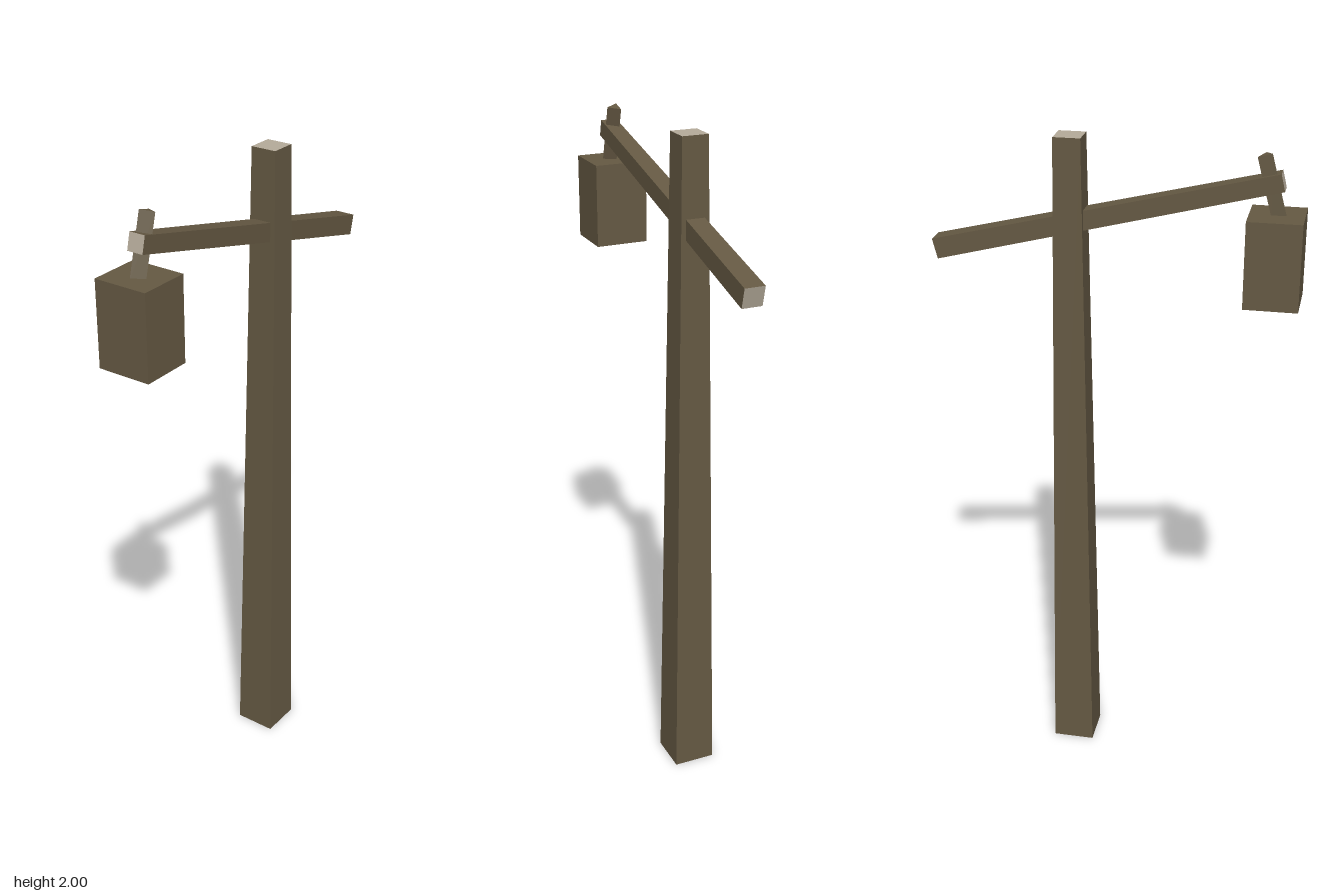
import * as THREE from 'three';

const wood = new THREE.MeshStandardMaterial({ color: 0x655943, side: THREE.DoubleSide });
wood.name = 'dark wood';
const endGrain = new THREE.MeshStandardMaterial({ color: 0xb5ab9a });
endGrain.name = 'pale end grain';

// Straight tapered timber with flat sides, running from one point to another
function timber(name, from, to, r0, r1, sides, spin, materials, open = false) {
  const a = new THREE.Vector3(...from), b = new THREE.Vector3(...to);
  const axis = b.clone().sub(a);
  const indexed = new THREE.CylinderGeometry(r1, r0, axis.length(), sides, 1, open);
  indexed.rotateY(spin);
  const geometry = indexed.toNonIndexed();
  geometry.computeVertexNormals();
  const mesh = new THREE.Mesh(geometry, materials);
  mesh.name = name;
  mesh.position.copy(a).add(b).multiplyScalar(0.5);
  mesh.quaternion.setFromUnitVectors(new THREE.Vector3(0, 1, 0), axis.normalize());
  return mesh;
}

export function createModel() {
  const group = new THREE.Group();
  group.name = 'lampPost';
  const square = Math.SQRT1_2; // side length to corner radius
  const x = 0.005;
  const postZ = -0.127;

  // Tapered square post, hollow underneath, with a separate top
  group.add(timber('post', [x, 0, postZ], [x, 2, postZ],
    0.127 * square, 0.078 * square, 4, Math.PI / 4, wood, true));
  const postTop = new THREE.Mesh(new THREE.PlaneGeometry(0.078, 0.078), endGrain);
  postTop.name = 'postTop';
  postTop.rotation.x = -Math.PI / 2;
  postTop.position.set(x, 2, postZ);
  group.add(postTop);

  // Sloping crossbeam, thicker at the back, with pale sawn ends
  group.add(timber('crossbeam', [x, 1.903, 0.464], [x, 1.659, -0.521],
    0.049 * square, 0.06 * square, 4, Math.PI / 4, [wood, endGrain, endGrain]));

  // Three-sided leaning peg that carries the lantern
  group.add(timber('hangerPeg', [0.003, 1.8, 0.458], [0.003, 1.973, 0.411],
    0.024, 0.024, 3, Math.PI / 2, wood));

  // Plain box lantern
  const lantern = new THREE.Mesh(new THREE.BoxGeometry(0.162, 0.25, 0.154), wood);
  lantern.name = 'lantern';
  lantern.position.set(0, 1.685, 0.451);
  group.add(lantern);

  return group;
}
